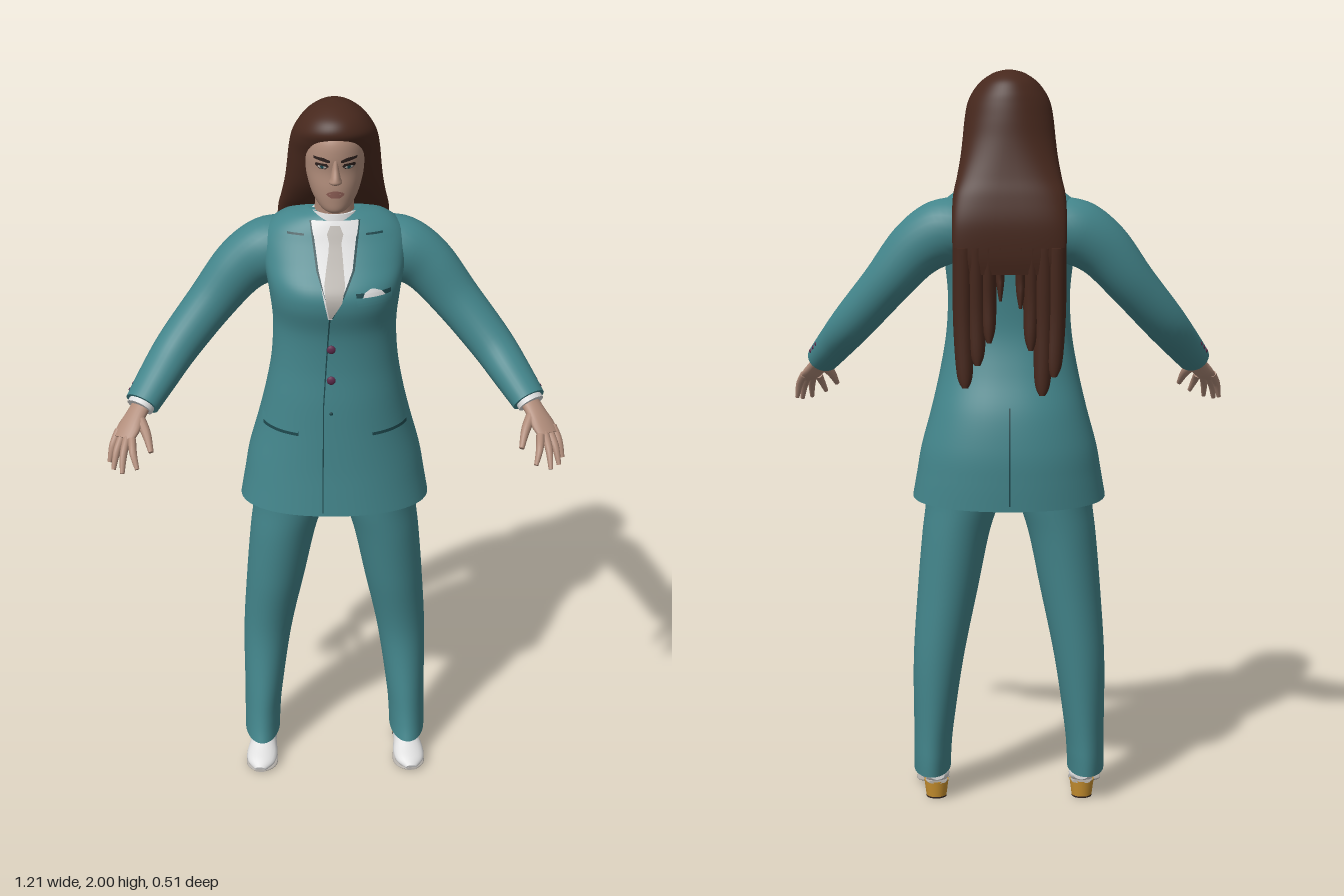
import * as THREE from 'three';

const paint = (name, color) => Object.assign(new THREE.MeshStandardMaterial({ color }), { name });
const suit = paint('teal suit', 0x43858b);
const seam = paint('dark seam', 0x1d474c);
const hairMat = paint('brown hair', 0x47281d);
const skinMat = paint('skin', 0xb08c7a);
const white = paint('white shirt and shoes', 0xdcdcdc);
const grey = paint('grey tie and soles', 0xb5b0aa);
const gold = paint('gold heel', 0xc8902f);
const plum = paint('plum button', 0x5c2a4a);
const dark = paint('dark brow', 0x2e211e);
const lip = paint('lip', 0x8c5d54);

// Smooth a table of section rows, column by column
function dense(rows, k = 6) {
  const out = [], at = i => rows[Math.min(Math.max(i, 0), rows.length - 1)];
  for (let i = 0; i < rows.length - 1; i++) {
    for (let j = 0; j < k; j++) {
      const t = j / k;
      out.push(rows[i].map((b, c) => {
        const a = at(i - 1)[c], d = at(i + 1)[c], e = at(i + 2)[c];
        return b + 0.5 * t * (d - a + t * (2 * a - 5 * b + 4 * d - e + t * (3 * (b - d) + e - a)));
      }));
    }
  }
  out.push(rows[rows.length - 1]);
  return out;
}

// Skin a list of closed rings, with flat caps
function skin(name, rings, mat) {
  const n = rings[0].length, pos = [], idx = [];
  rings.forEach(r => r.forEach(p => pos.push(...p)));
  for (let i = 0; i < rings.length - 1; i++) {
    for (let j = 0; j < n; j++) {
      const a = i * n + j, b = i * n + (j + 1) % n;
      idx.push(a, b, b + n, a, b + n, a + n);
    }
  }
  [rings[0], rings[rings.length - 1]].forEach((r, end) => {
    const base = pos.length / 3;
    r.forEach(p => pos.push(...p));
    pos.push(...[0, 1, 2].map(c => r.reduce((sum, p) => sum + p[c], 0) / n));
    for (let j = 0; j < n; j++) {
      const a = base + j, b = base + (j + 1) % n;
      idx.push(base + n, end ? a : b, end ? b : a);
    }
  });
  const g = new THREE.BufferGeometry();
  g.setAttribute('position', new THREE.Float32BufferAttribute(pos, 3));
  g.setIndex(idx);
  g.computeVertexNormals();
  const m = new THREE.Mesh(g, mat);
  m.name = name;
  return m;
}

// Upright form: rows are [y, centre x, half width, front z, back z, roundness], going up
const sp = (v, p) => Math.sign(v) * Math.abs(v) ** p;
function body(name, rows, mat, n = 48, shift = y => y) {
  return skin(name, dense(rows).map(([y, cx, rx, zf, zb, p = 1]) => Array.from({ length: n }, (_, j) => {
    const a = j / n * Math.PI * 2;
    const z = (zf + zb) / 2 - (zf - zb) / 2 * sp(Math.sin(a), p);
    return [cx + rx * sp(Math.cos(a), p), shift(y, z), z];
  })), mat);
}

// Limb along a path: rows are [x, y, z, radius along wide, other radius]; s mirrors in x
function limb(name, rows, mat, s = 1, wide = [0, 0, 1], n = 20) {
  const d = dense(rows), P = d.map(r => new THREE.Vector3(r[0] * s, r[1], r[2]));
  const ref = new THREE.Vector3(wide[0] * s, wide[1], wide[2]);
  return skin(name, d.map((r, i) => {
    const T = P[Math.min(i + 1, P.length - 1)].clone().sub(P[Math.max(i - 1, 0)]).normalize();
    const B = ref.clone().addScaledVector(T, -T.dot(ref)).normalize(), C = T.clone().cross(B);
    return Array.from({ length: n }, (_, j) => {
      const a = j / n * Math.PI * 2;
      return P[i].clone().addScaledVector(B, r[3] * Math.cos(a)).addScaledVector(C, r[4] * Math.sin(a)).toArray();
    });
  }), mat);
}

// Depth of an upright form at (x, y); side 1 is front, -1 back
function surface(rows, side = 1) {
  const d = dense(rows);
  return (x, y) => {
    let i = d.findIndex(r => r[0] >= y);
    i = i < 1 ? (i < 0 ? d.length - 1 : 1) : i;
    const t = THREE.MathUtils.clamp((y - d[i - 1][0]) / (d[i][0] - d[i - 1][0]), 0, 1);
    const [, cx, rx, zf, zb, p = 1] = d[i].map((v, c) => THREE.MathUtils.lerp(d[i - 1][c], v, t));
    const u = Math.min(Math.abs(x - cx) / rx, 1);
    return (zf + zb) / 2 + side * (zf - zb) / 2 * (1 - u ** (2 / p)) ** (p / 2);
  };
}

// Thin plate lying on a surface: rows are [y, x from, x to], going up
function plate(name, surf, rows, mat, off = 0.004, s = 1, side = 1) {
  const nx = 10, k = 8, ny = (rows.length - 1) * k;
  const g = new THREE.PlaneGeometry(1, 1, nx, ny), p = g.attributes.position;
  for (let v = 0; v < p.count; v++) {
    const q = (p.getY(v) + 0.5) * (rows.length - 1), i = Math.min(Math.floor(q + 1e-6), rows.length - 2);
    const [y, a, b] = rows[i].map((w, c) => THREE.MathUtils.lerp(w, rows[i + 1][c], q - i));
    const u = p.getX(v) * s * side + 0.5, x = s * (a + (b - a) * u);
    p.setXYZ(v, x, y, surf(x, y) + off * side);
  }
  g.computeVertexNormals();
  const m = new THREE.Mesh(g, mat);
  m.name = name;
  return m;
}

export function createModel() {
  const model = new THREE.Group();
  const add = (...parts) => model.add(...parts);

  // Jacket
  const torso = [
    [0.865, 0, 0.262, 0.118, -0.25, 0.9], [0.93, 0, 0.25, 0.112, -0.252, 0.9], [1.0, 0, 0.237, 0.106, -0.25, 0.9],
    [1.1, 0, 0.21, 0.1, -0.232, 0.9], [1.2, 0, 0.187, 0.095, -0.195, 0.9], [1.3, 0, 0.17, 0.088, -0.17, 0.9],
    [1.4, 0, 0.165, 0.092, -0.17, 0.9], [1.48, 0, 0.172, 0.112, -0.18, 0.85], [1.53, 0, 0.18, 0.106, -0.19, 0.85],
    [1.58, 0, 0.19, 0.065, -0.198, 0.85], [1.63, 0, 0.19, 0.03, -0.195, 0.9], [1.665, 0, 0.165, 0.01, -0.18, 0.9],
    [1.69, 0, 0.125, -0.005, -0.16, 1], [1.705, 0, 0.07, -0.02, -0.13, 1]];
  const front = surface(torso), back = surface(torso, -1);
  add(body('jacket', torso, suit, 64, (y, z) => y + 0.08 * z * Math.max(0, (1 - y) / 0.135)));
  add(plate('jacketOpening', front, [[0.885, -0.037, -0.034], [1.2, -0.034, -0.031], [1.46, -0.018, -0.014]], seam, 0.003));
  add(plate('backVent', back, [[0.86, -0.002, 0.002], [1.12, -0.002, 0.002]], seam, 0.003, 1, -1));

  // Shirt front, tie and collar
  add(plate('shirtFront', front, [[1.46, -0.02, -0.01], [1.58, -0.045, 0.045], [1.69, -0.06, 0.06]], white, 0.004));
  add(plate('tie', front, [[1.465, -0.017, -0.011], [1.51, -0.026, 0.016], [1.55, -0.03, 0.024], [1.62, -0.018, 0.018],
    [1.64, -0.016, 0.016], [1.68, -0.026, 0.026]], grey, 0.008));
  add(body('shirtCollar', [[1.65, 0, 0.07, 0.006, -0.12], [1.68, 0, 0.065, 0, -0.115], [1.705, 0, 0.059, -0.006, -0.108]], white));

  // Pockets, lapels and buttons
  for (const s of [1, -1]) {
    add(plate('collarPoint', front, [[1.632, 0.038, 0.042], [1.66, 0.022, 0.057], [1.69, 0.008, 0.062]], white, 0.0095, s));
    add(plate('lapelEdge', front, [[1.465, -0.012 * s, -0.008 * s], [1.58, 0.044, 0.05], [1.69, 0.06, 0.066]], seam, 0.006, s));
    add(plate('lapelNotch', front, [[1.655, 0.08, 0.125], [1.66, 0.08, 0.125]], seam, 0.004, s));
    add(plate('pocketShadow', front, [[1.108, 0.1, 0.195], [1.137, 0.098, 0.195]], seam, 0.003, s));
    add(plate('pocketFlap', front, [[1.118, 0.1, 0.197], [1.139, 0.097, 0.197]], suit, 0.006, s));
  }
  add(plate('breastPocketEdge', front, [[1.508, 0.055, 0.145], [1.53, 0.052, 0.145]], seam, 0.003));
  add(plate('breastPocket', front, [[1.498, 0.056, 0.147], [1.52, 0.053, 0.147]], suit, 0.006));
  add(plate('handkerchief', front, [[1.52, 0.07, 0.13], [1.532, 0.075, 0.12], [1.54, 0.09, 0.1]], white, 0.008));
  const button = (x, y, z, r, mat) => {
    const b = new THREE.Mesh(new THREE.SphereGeometry(r, 14, 8), mat);
    b.name = 'button';
    b.position.set(x, y, z);
    add(b);
    return b;
  };
  for (const [y, r, mat] of [[1.365, 0.012, plum], [1.275, 0.012, plum], [1.18, 0.005, seam]]) {
    button(-0.012, y, front(-0.012, y) + 0.002, r, mat).scale.z = 0.5;
  }

  for (const s of [1, -1]) {
    // Sleeve and hand
    add(limb('sleeve', [[0.12, 1.58, -0.1, 0.085, 0.085], [0.18, 1.573, -0.1, 0.084, 0.088], [0.25, 1.528, -0.095, 0.072, 0.079],
      [0.33, 1.435, -0.075, 0.064, 0.066], [0.42, 1.33, -0.025, 0.06, 0.058], [0.475, 1.264, 0.04, 0.056, 0.05],
      [0.515, 1.215, 0.095, 0.05, 0.043]], suit, s, [-0.5, 0, 0.8], 28));
    add(limb('shirtCuff', [[0.5, 1.235, 0.075, 0.04, 0.034], [0.521, 1.208, 0.103, 0.04, 0.034]], white, s, [-0.5, 0, 0.8]));
    for (let i = 0; i < 3; i++) button(s * (0.545 - i * 0.009), 1.238 + i * 0.011, 0.058 - i * 0.014, 0.007, plum);
    const across = [0.6, 0.1, -0.7];
    add(limb('palm', [[0.505, 1.225, 0.08, 0.027, 0.021], [0.53, 1.195, 0.12, 0.03, 0.018], [0.548, 1.17, 0.148, 0.036, 0.016],
      [0.563, 1.15, 0.172, 0.033, 0.011]], skinMat, s, across));
    const tips = [[0.523, 1.1, 0.25], [0.563, 1.085, 0.245], [0.588, 1.083, 0.218], [0.6, 1.09, 0.188]];
    tips.forEach(([x, y, z], i) => {
      const k = (i - 1.5) * 0.019, b = [0.557 + k * 0.65, 1.158 + k * 0.1, 0.164 - k * 0.75];
      add(limb('finger', [[...b, 0.011, 0.011], [(b[0] + x) / 2 + 0.003, (b[1] + y) / 2 + 0.005, (b[2] + z) / 2 + 0.004, 0.01, 0.01],
        [x, y, z, 0.006, 0.006]], skinMat, s, across, 10));
    });
    add(limb('thumb', [[0.525, 1.195, 0.125, 0.016, 0.014], [0.502, 1.165, 0.168, 0.013, 0.012], [0.488, 1.128, 0.208, 0.007, 0.007]],
      skinMat, s, across, 10));

    // Trouser leg
    add(body('trouserLeg', [[0.075, 0.215, 0.051, 0.07, -0.145], [0.12, 0.214, 0.052, 0.055, -0.148], [0.2, 0.21, 0.055, 0.04, -0.15],
      [0.4, 0.195, 0.069, 0.014, -0.16], [0.6, 0.168, 0.083, 0.04, -0.165], [0.75, 0.146, 0.092, 0.057, -0.17],
      [0.85, 0.125, 0.102, 0.065, -0.175], [0.95, 0.115, 0.115, 0.07, -0.18]].map(r => r.map((v, c) => c === 1 ? v * s : v)), suit, 40));

    // Shoe, sole and heel
    const shoe = new THREE.Group();
    shoe.name = 'shoe';
    const heel = new THREE.Mesh(new THREE.CylinderGeometry(0.034, 0.028, 0.045, 20), gold);
    heel.name = 'heel';
    heel.position.set(0, 0.0265, -0.078);
    const tip = new THREE.Mesh(new THREE.CylinderGeometry(0.028, 0.028, 0.004, 20), dark);
    tip.name = 'heelTip';
    tip.position.set(0, 0.002, -0.078);
    const x = [1, 0, 0];
    shoe.add(heel, tip,
      limb('shoeUpper', [[0, 0.07, -0.115, 0.02, 0.012], [0, 0.068, -0.09, 0.035, 0.024], [0, 0.062, -0.04, 0.036, 0.032],
        [0, 0.047, 0.01, 0.038, 0.036], [0, 0.032, 0.055, 0.045, 0.027], [0, 0.023, 0.09, 0.039, 0.018],
        [0, 0.015, 0.115, 0.016, 0.009]], white, 1, x),
      limb('sole', [[0, 0.05, -0.11, 0.025, 0.005], [0, 0.045, -0.07, 0.034, 0.006], [0, 0.022, -0.01, 0.033, 0.006],
        [0, 0.007, 0.05, 0.046, 0.007], [0, 0.007, 0.09, 0.04, 0.006], [0, 0.01, 0.116, 0.016, 0.004]], grey, 1, x));
    shoe.position.x = s * 0.211;
    shoe.rotation.y = s * 0.1;
    add(shoe);
  }

  // Head and neck
  const head = [[1.726, 0, 0.015, 0.04, 0.0], [1.738, 0, 0.036, 0.056, -0.03], [1.765, 0, 0.056, 0.061, -0.07],
    [1.8, 0, 0.069, 0.063, -0.1], [1.84, 0, 0.077, 0.061, -0.12], [1.88, 0, 0.079, 0.066, -0.125],
    [1.92, 0, 0.072, 0.062, -0.12], [1.955, 0, 0.05, 0.04, -0.1]];
  const face = surface(head);
  add(body('head', head, skinMat));
  add(body('neck', [[1.64, 0, 0.056, -0.01, -0.11], [1.7, 0, 0.052, -0.012, -0.105], [1.78, 0, 0.05, 0, -0.1]], skinMat, 32));
  add(body('nose', [[1.812, 0, 0.01, 0.068, 0.04], [1.82, 0, 0.017, 0.087, 0.04], [1.832, 0, 0.013, 0.087, 0.04],
    [1.855, 0, 0.009, 0.074, 0.04], [1.88, 0, 0.007, 0.065, 0.04]], skinMat, 20));
  add(plate('upperLip', face, [[1.787, -0.024, 0.024], [1.792, -0.018, 0.018], [1.796, -0.006, 0.006]], lip, 0.004));
  add(plate('lowerLip', face, [[1.777, -0.011, 0.011], [1.782, -0.018, 0.018], [1.787, -0.024, 0.024]], lip, 0.005));
  for (const s of [1, -1]) {
    add(plate('eyebrow', face, [[1.872, 0.014, 0.02], [1.878, 0.014, 0.055], [1.884, 0.03, 0.056]], dark, 0.004, s));
    add(plate('eyeline', face, [[1.853, 0.026, 0.042], [1.861, 0.017, 0.052], [1.868, 0.022, 0.05]], dark, 0.003, s));
    add(plate('eyeWhite', face, [[1.855, 0.029, 0.04], [1.859, 0.022, 0.046], [1.862, 0.026, 0.044]], grey, 0.005, s));
    add(plate('iris', face, [[1.855, 0.032, 0.037], [1.859, 0.03, 0.039], [1.863, 0.031, 0.038]], seam, 0.006, s));
  }

  // Hair: main mass, then loose locks with a gap in the middle
  add(body('hair', [[1.47, 0, 0.13, -0.18, -0.216, 0.6], [1.52, 0, 0.147, -0.175, -0.224, 0.6], [1.6, 0, 0.15, -0.16, -0.226, 0.6],
    [1.67, 0, 0.148, -0.115, -0.214, 0.65], [1.72, 0, 0.138, -0.07, -0.2, 0.75], [1.77, 0, 0.129, -0.03, -0.188, 0.85],
    [1.82, 0, 0.123, 0.0, -0.178, 0.95], [1.87, 0, 0.118, 0.025, -0.17, 1], [1.91, 0, 0.111, 0.049, -0.162, 1],
    [1.94, 0, 0.098, 0.062, -0.153, 1], [1.97, 0, 0.074, 0.045, -0.135, 1], [1.992, 0, 0.04, 0.0, -0.1, 1],
    [2.0, 0, 0.008, -0.045, -0.065, 1]], hairMat, 64));
  const locks = [[0.122, 0.027, 1.17], [0.088, 0.026, 1.23], [0.056, 0.022, 1.29], [0.025, 0.012, 1.4],
    [-0.122, 0.027, 1.2], [-0.09, 0.027, 1.15], [-0.058, 0.022, 1.27], [-0.03, 0.014, 1.38]];
  for (const [x, w, end] of locks) {
    add(body('hairLock', [[end, x * 0.96, w * 0.3, -0.195, -0.212], [end + 0.04, x * 0.97, w * 0.8, -0.17, -0.214],
      [(end + 1.5) / 2 + 0.02, x, w, -0.15, -0.214], [1.54, x, w, -0.17, -0.226]], hairMat, 16));
  }
  return model;
}
